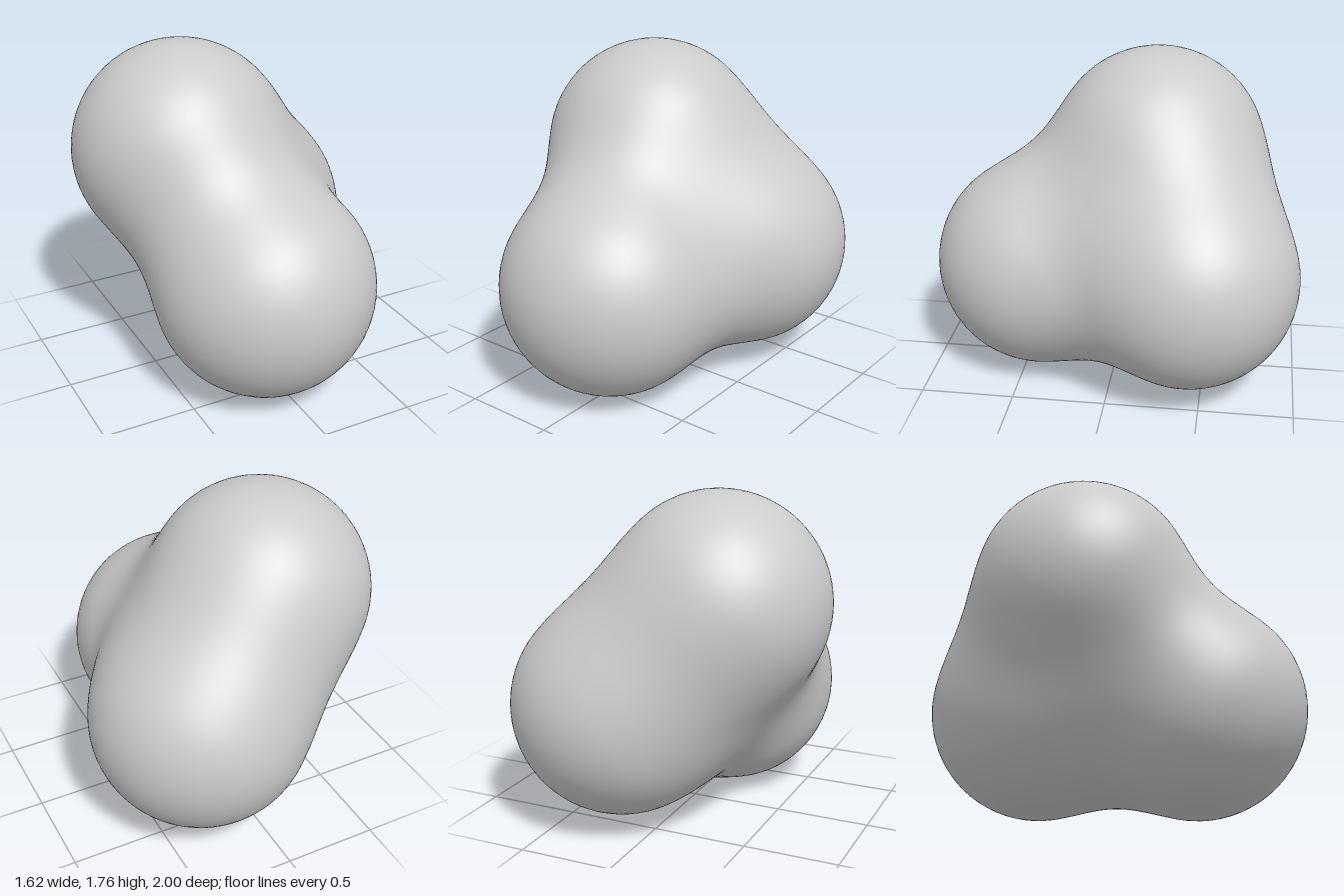
import * as THREE from 'three';
import { mergeVertices } from 'three/addons/utils/BufferGeometryUtils.js';

// Three overlapping balls melted into one body
const RADIUS = 0.585;
const BLEND = 0.38;
const balls = [
  new THREE.Vector3(-0.04, 0.585, 0.415), // front
  new THREE.Vector3(-0.225, 1.175, -0.2), // top
  new THREE.Vector3(0.225, 0.645, -0.415), // back
];

// Smooth minimum, rounding the creases where balls meet
function smoothMin(a, b) {
  const h = Math.max(BLEND - Math.abs(a - b), 0) / BLEND;
  return Math.min(a, b) - h * h * BLEND * 0.25;
}

function distanceToBody(p) {
  return balls.map((c) => p.distanceTo(c) - RADIUS).reduce(smoothMin);
}

export function createModel() {
  const group = new THREE.Group();
  group.name = 'blob';

  // Fine ball whose vertices are pushed out from the core to the blended surface
  let geometry = new THREE.IcosahedronGeometry(1, 20);
  geometry.deleteAttribute('uv');
  geometry.deleteAttribute('normal');
  geometry = mergeVertices(geometry, 1e-4);

  const core = balls.reduce((sum, c) => sum.add(c), new THREE.Vector3()).divideScalar(balls.length);
  const position = geometry.attributes.position;
  const direction = new THREE.Vector3();
  const point = new THREE.Vector3();
  for (let i = 0; i < position.count; i++) {
    direction.fromBufferAttribute(position, i).normalize();
    let near = 0;
    let far = 2;
    for (let step = 0; step < 30; step++) {
      const middle = (near + far) / 2;
      point.copy(core).addScaledVector(direction, middle);
      if (distanceToBody(point) < 0) near = middle;
      else far = middle;
    }
    position.setXYZ(i, point.x, point.y, point.z);
  }
  geometry.computeVertexNormals();

  const body = new THREE.Mesh(geometry, new THREE.MeshStandardMaterial({ color: 0xcccccc }));
  body.name = 'blendedBody';
  group.add(body);
  return group;
}
